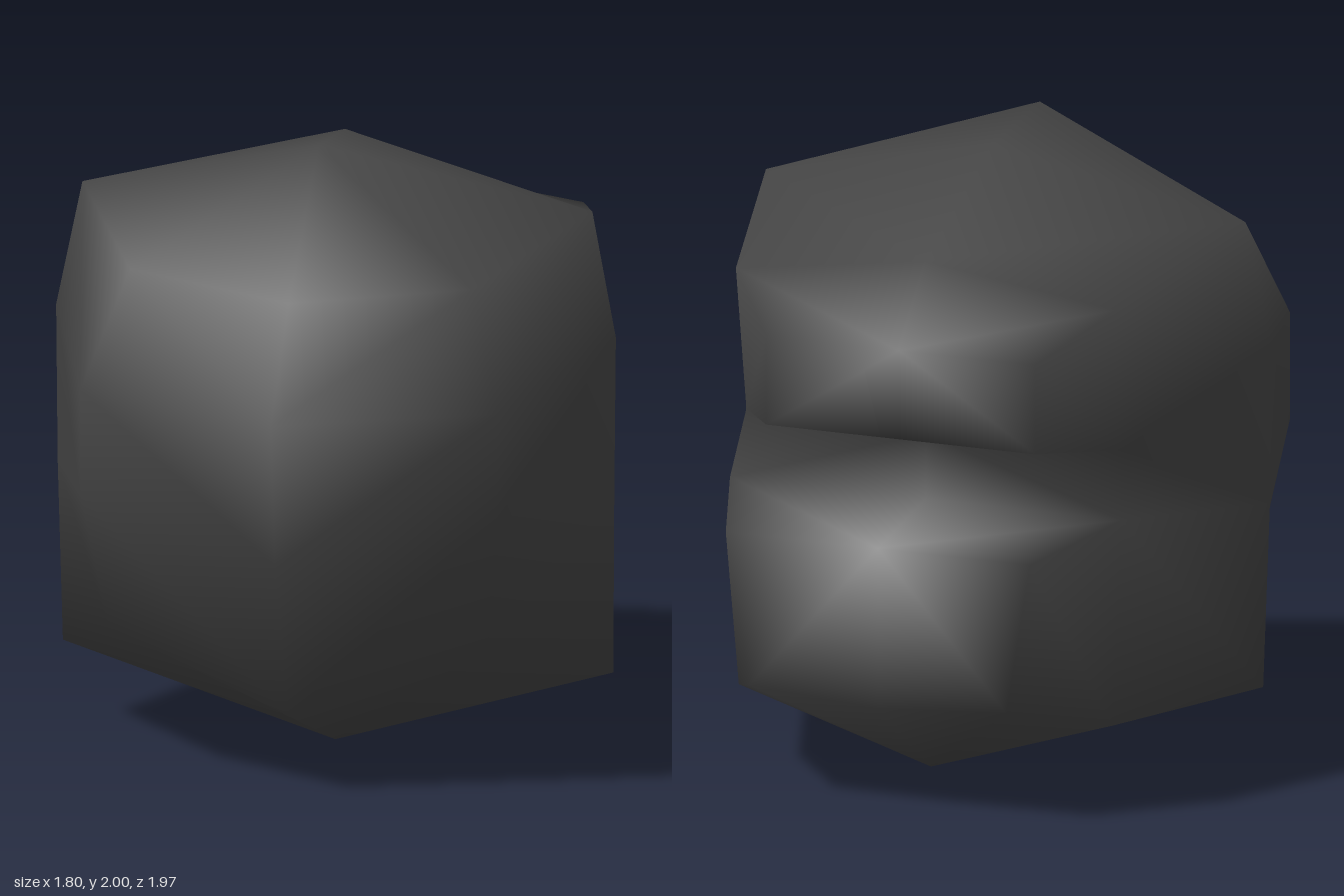
import * as THREE from 'three';
import { mergeVertices } from 'three/addons/utils/BufferGeometryUtils.js';

// Half-rings from the front centre, round the +x side, to the back centre
const rings = {
  a: [[0, .26, .74], [.61, .48, .6], [.885, .26, .02], [.64, .26, -.6], [.44, .37, -.98], [0, .34, -.98]],
  b: [[0, .8, .93], [.67, .94, .73], [.895, .85, .05], [.67, .93, -.6], [.52, .86, -.98], [0, .86, -.98]],
  c: [[0, 1.27, .99], [.67, 1.28, .73], [.9, 1.36, .05], [.64, 1.14, -.54], [.46, 1.17, -.8], [0, 1.17, -.8]],
  d: [[0, 1.6, .73], [.55, 1.63, .55], [.82, 1.76, .03], [.65, 1.61, -.6], [.46, 1.46, -.8], [0, 1.46, -.81]],
  // Centre-line points: top ridge, underside and inner wall of the notch
  t: [[0, 2, .3], [0, 1.95, -.08], [0, 1.7, -.6]],
  f: [[0, 0, .06], [0, .05, -.56]],
  w: [[0, .93, -.6], [0, 1.14, -.6]],
};

function bodyGeometry() {
  const faces = [
    // crown
    'd0 d1 t0', 'd1 d2 t0', 'd2 t1 t0', 'd2 d3 t2 t1', 'd3 d4 d5 t2',
    // underside
    'a1 a0 f0', 'a2 a1 f0', 'a2 f0 f1 a3', 'a4 a3 f1 a5',
    // notch floor, wall and ceiling
    'b3 b4 b5 w0', 'b3 w0 w1 c3', 'c3 w1 c5 c4',
  ];
  // walls between the rings, leaving the notch open at the back
  for (const [lo, hi] of ['ab', 'bc', 'cd']) {
    const count = lo === 'b' ? 3 : 5;
    for (let i = 0; i < count; i++) {
      faces.push(`${lo}${i} ${lo}${i + 1} ${hi}${i + 1} ${hi}${i}`);
    }
  }

  // emit each face and its mirror image
  const positions = [];
  for (const face of faces) {
    const pts = face.split(' ').map((key) => rings[key[0]][key[1]]);
    for (let i = 1; i < pts.length - 1; i++) {
      const tri = [pts[0], pts[i], pts[i + 1]];
      for (const p of tri) positions.push(...p);
      for (const [x, y, z] of tri.reverse()) positions.push(x === 0 ? 0 : -x, y, z);
    }
  }
  const raw = new THREE.BufferGeometry();
  raw.setAttribute('position', new THREE.Float32BufferAttribute(positions, 3));
  const geometry = mergeVertices(raw);
  geometry.computeVertexNormals();
  return geometry;
}

export function createModel() {
  const charcoal = new THREE.MeshStandardMaterial({ color: 0x444444 });
  charcoal.name = 'charcoal';

  const group = new THREE.Group();
  group.name = 'notchedBoulder';
  const body = new THREE.Mesh(bodyGeometry(), charcoal);
  body.name = 'body';
  group.add(body);
  return group;
}
